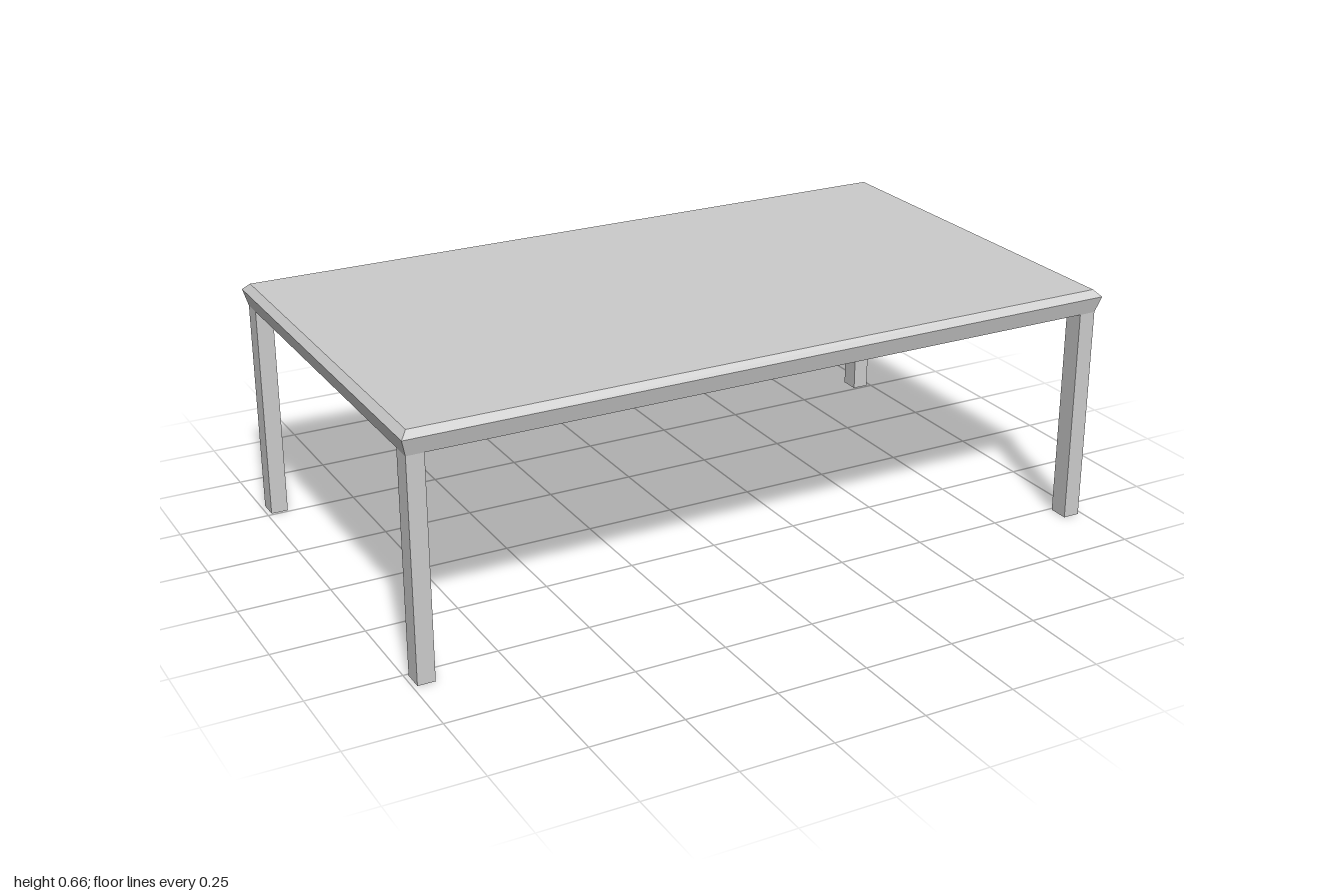
import * as THREE from 'three';

const material = new THREE.MeshStandardMaterial({ color: 0xcccccc, flatShading: true });

// Slab lofted through three rectangles: underside, widest edge, top face
function bevelledTop() {
  const rings = [
    { y: 0.6, x: 0.988, z: 0.563 },
    { y: 0.645, x: 1, z: 0.575 },
    { y: 0.663, x: 0.982, z: 0.557 },
  ];
  const box = new THREE.BoxGeometry(2, 2, 2, 1, 2, 1);
  const p = box.attributes.position;
  for (let i = 0; i < p.count; i++) {
    const r = rings[Math.round(p.getY(i)) + 1];
    p.setXYZ(i, Math.sign(p.getX(i)) * r.x, r.y, Math.sign(p.getZ(i)) * r.z);
  }
  const geometry = box.toNonIndexed();
  geometry.computeVertexNormals();
  return geometry;
}

export function createModel() {
  const table = new THREE.Group();
  table.name = 'table';

  const top = new THREE.Mesh(bevelledTop(), material);
  top.name = 'tabletop';
  table.add(top);

  // Legs stand flush with the corners of the underside
  const w = 0.047, h = 0.6, d = 0.056;
  const legGeometry = new THREE.BoxGeometry(w, h, d);
  for (const [sx, side] of [[1, 'Left'], [-1, 'Right']]) {
    for (const [sz, end] of [[1, 'front'], [-1, 'back']]) {
      const leg = new THREE.Mesh(legGeometry, material);
      leg.name = `${end}${side}Leg`;
      leg.position.set(sx * (0.988 - w / 2), h / 2, sz * (0.563 - d / 2));
      table.add(leg);
    }
  }
  return table;
}
